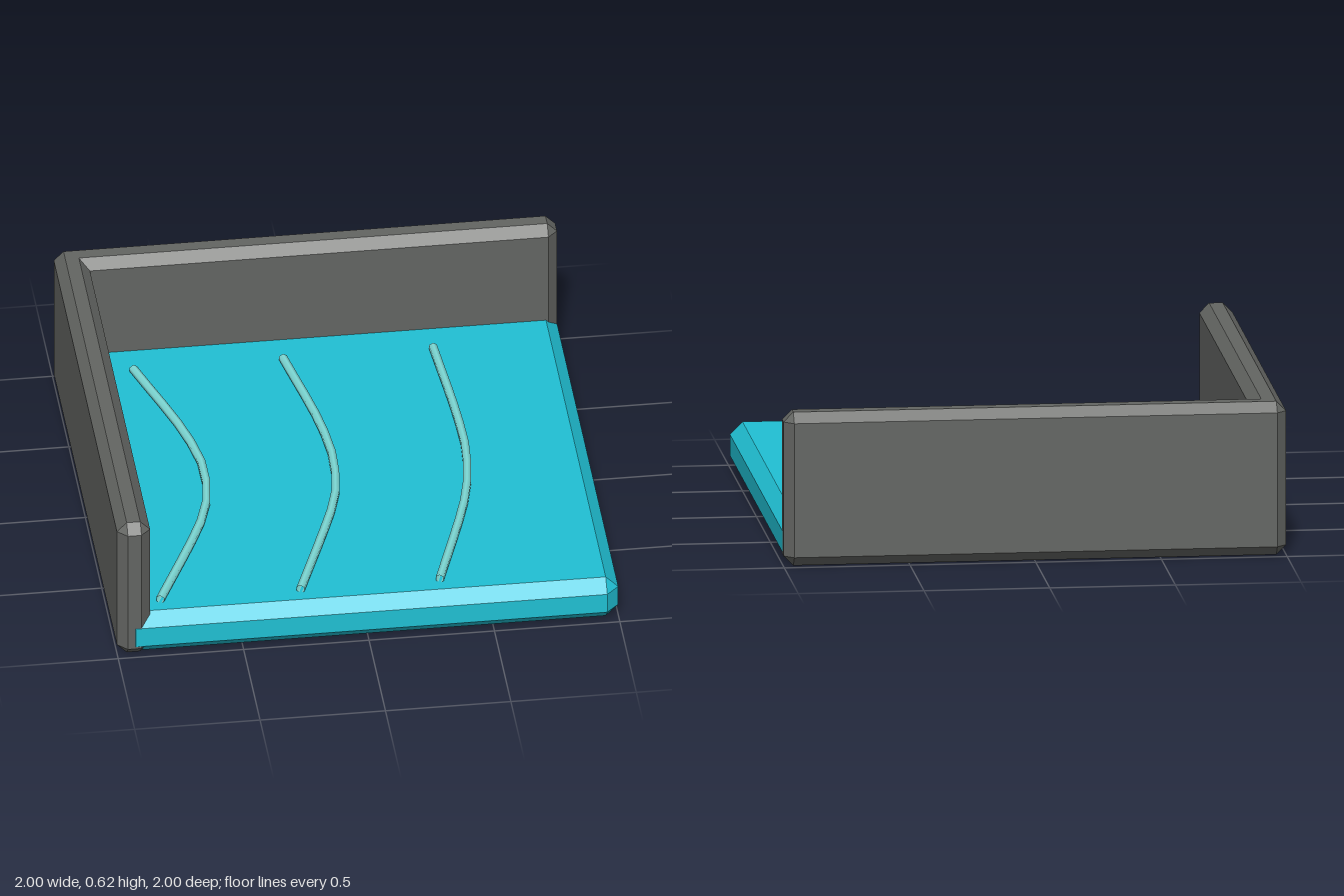
import * as THREE from 'three';
import { ConvexGeometry } from 'three/addons/geometries/ConvexGeometry.js';

// Box between two corners with every edge chamfered by c
function chamferBox(min, max, c) {
  const points = [];
  for (let axis = 0; axis < 3; axis++) {
    for (const sx of [0, 1]) for (const sy of [0, 1]) for (const sz of [0, 1]) {
      const p = [sx, sy, sz].map((s, i) => {
        const inset = i === axis ? 0 : c;
        return s ? max[i] - inset : min[i] + inset;
      });
      points.push(new THREE.Vector3(...p));
    }
  }
  return new ConvexGeometry(points);
}

export function createModel() {
  const group = new THREE.Group();
  const stone = new THREE.MeshStandardMaterial({ color: 0x636562, flatShading: true });
  const water = new THREE.MeshStandardMaterial({ color: 0x20c0d4, flatShading: true });
  const foam = new THREE.MeshStandardMaterial({ color: 0x7fdcd8, side: THREE.DoubleSide });

  const add = (name, geometry, material) => {
    const mesh = new THREE.Mesh(geometry, material);
    mesh.name = name;
    group.add(mesh);
  };

  // Water slab, a hair proud of the walls where they are flush
  add('waterSlab', chamferBox([-0.98, 0, -0.98], [1, 0.185, 1], 0.05), water);

  // Two walls meeting at the back corner
  add('sideWall', chamferBox([-1, 0.001, -1], [-0.868, 0.62, 0.999], 0.039), stone);
  add('backWall', chamferBox([-1, 0.001, -1], [0.999, 0.62, -0.868], 0.039), stone);

  // Ripple lines: x at each shared z station
  const stations = [-0.72, -0.23, 0.02, 0.27, 0.43, 0.9];
  const ripples = [
    [-0.715, -0.567, -0.53, -0.555, -0.61, -0.82],
    [-0.118, -0.03, -0.013, -0.04, -0.09, -0.26],
    [0.48, 0.512, 0.515, 0.485, 0.445, 0.295],
  ];
  ripples.forEach((xs, i) => {
    const curve = new THREE.CatmullRomCurve3(
      xs.map((x, k) => new THREE.Vector3(x, 0.2, stations[k])));
    add('ripple' + (i + 1), new THREE.TubeGeometry(curve, 12, 0.018, 6, false), foam);
  });

  return group;
}
